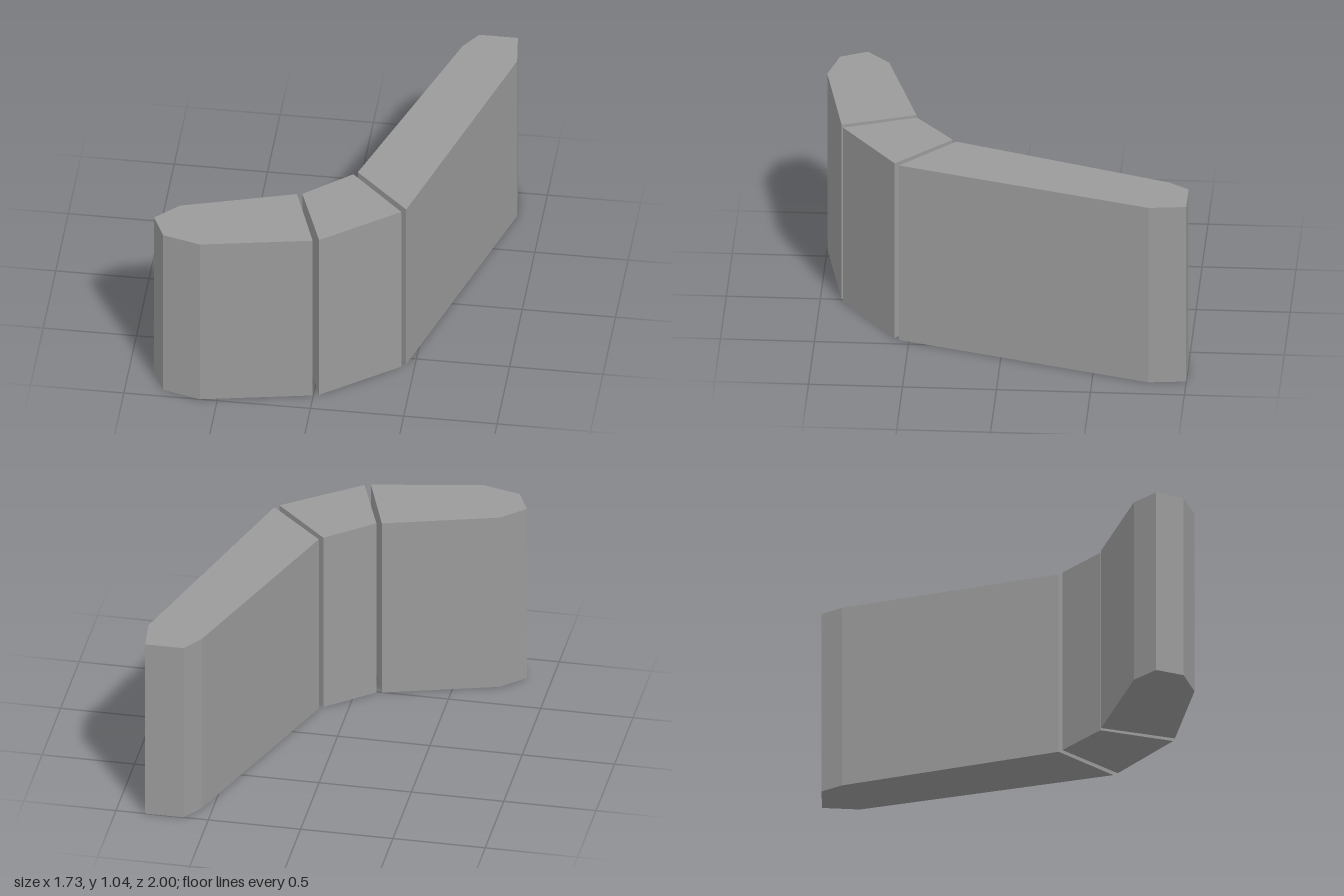
import * as THREE from 'three';

const HEIGHT = 1.04;

// Upright block from a floor plan given as [x, z] corners
function block(name, plan, material) {
  const shape = new THREE.Shape(plan.map(([x, z]) => new THREE.Vector2(x, -z)));
  const geometry = new THREE.ExtrudeGeometry(shape, { depth: HEIGHT, bevelEnabled: false });
  geometry.rotateX(-Math.PI / 2);
  const mesh = new THREE.Mesh(geometry, material);
  mesh.name = name;
  return mesh;
}

export function createModel() {
  const group = new THREE.Group();
  group.name = 'curvedWall';
  const material = new THREE.MeshStandardMaterial({ color: 0x9a9a9a, flatShading: true });

  // Short end section with a chamfered tip
  group.add(block('shortWall', [
    [-0.865, 0.8], [-0.797, 0.945], [-0.593, 1], [-0.003, 0.887], [-0.14, 0.497], [-0.743, 0.68],
  ], material));

  // Wedge that turns the corner
  group.add(block('cornerWall', [
    [-0.112, 0.492], [0.03, 0.877], [0.43, 0.577], [0.134, 0.287],
  ], material));

  // Long end section with a chamfered tip
  group.add(block('longWall', [
    [0.155, 0.267], [0.453, 0.553], [0.865, -0.8], [0.842, -1], [0.635, -1], [0.56, -0.89],
  ], material));

  return group;
}
